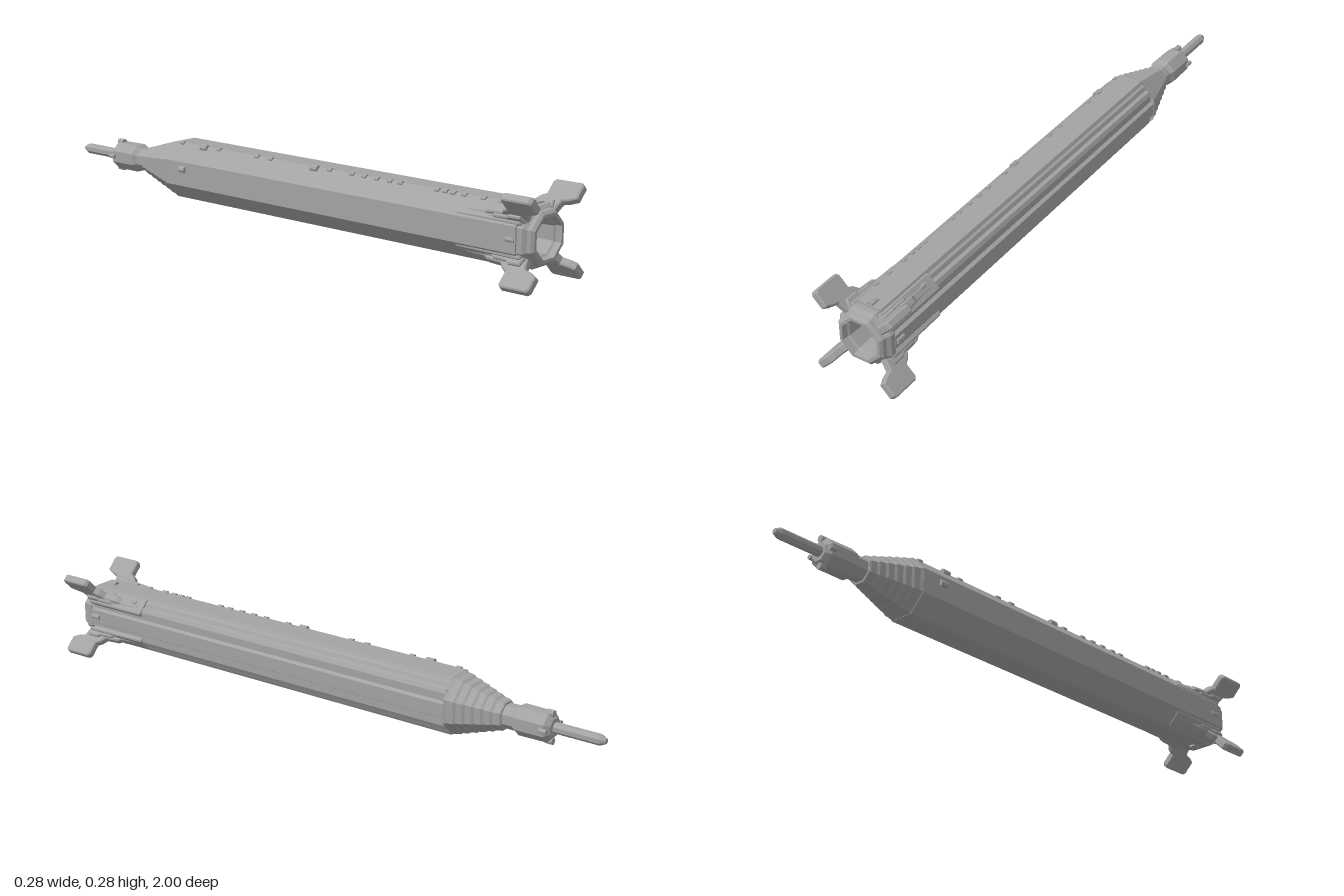
import * as THREE from 'three';

export function createModel() {
  const model = new THREE.Group();
  const rocket = new THREE.Group();
  rocket.name = 'rocket';
  rocket.position.y = 0.143; // long axis height
  model.add(rocket);

  const grey = new THREE.MeshStandardMaterial({ color: 0xa3a3a3 });
  grey.name = 'hull grey';

  // Adds a mesh with hard, flat facets
  function add(name, geometry, parent = rocket) {
    const g = geometry.index ? geometry.toNonIndexed() : geometry;
    g.computeVertexNormals();
    const mesh = new THREE.Mesh(g, grey);
    mesh.name = name;
    parent.add(mesh);
    return mesh;
  }

  // Octagonal turning along z; points are [apothem, z]
  const K = Math.cos(Math.PI / 8);
  function octagonal(name, points) {
    const g = new THREE.LatheGeometry(points.map(([r, z]) => new THREE.Vector2(r / K, z)), 8, Math.PI / 8);
    return add(name, g.rotateX(Math.PI / 2));
  }

  function shapeOf(points) {
    return new THREE.Shape(points.map(([x, y]) => new THREE.Vector2(x, y)));
  }

  // Hull: plain octagon on one side, stepped grooves on the other
  const groove = [
    [0.04, 0.093], [0.046, 0.083], [0.054, 0.079], [0.06, 0.067], [0.072, 0.064],
    [0.079, 0.052], [0.079, 0.028], [0.09, 0.022],
  ];
  const hullShape = shapeOf([
    [-0.04, 0.093], [-0.093, 0.04], [-0.093, -0.04], [-0.04, -0.093],
    ...groove.map(([x, y]) => [x, -y]),
    ...[...groove].reverse(),
  ]);
  const bore = [];
  for (let i = 0; i < 8; i++) {
    const a = Math.PI / 8 + i * Math.PI / 4;
    bore.push(new THREE.Vector2(Math.cos(a) * 0.07, Math.sin(a) * 0.07));
  }
  hullShape.holes.push(new THREE.Path(bore));
  const hull = new THREE.ExtrudeGeometry(hullShape, { depth: 1.42, bevelEnabled: false });
  hull.translate(0, 0, -0.5);
  add('hull', hull);

  // Tail ring with hollow stepped nozzle
  octagonal('nozzle', [
    [0.085, 0.915], [0.09, 0.922], [0.09, 0.94], [0.08, 0.95], [0.078, 0.962], [0.07, 0.97],
    [0.061, 0.97], [0.059, 0.95], [0.054, 0.945], [0.051, 0.86], [0, 0.86],
  ]);

  // Terraced shoulder, built from the narrow end to the wide end
  const shoulder = [[0, -0.67], [0.042, -0.67]];
  const steps = 6;
  for (let i = 0; i < steps; i++) {
    const z = -0.665 + i * 0.027;
    const r = 0.045 + i * 0.008;
    shoulder.push([r, z], [r + 0.003, z + 0.02]);
  }
  shoulder.push([0.092, -0.5], [0, -0.5]);
  octagonal('shoulder', shoulder);

  // Upper stage with a lipped front
  octagonal('upperStage', [
    [0, -0.83], [0.028, -0.83], [0.044, -0.815], [0.045, -0.72], [0.036, -0.705], [0.036, -0.66],
  ]);

  // Nose spire
  octagonal('spire', [
    [0, -1], [0.008, -0.998], [0.016, -0.98], [0.016, -0.82],
  ]).position.x = -0.003;

  // Small chamfered block
  function stud(name, x, y, z, size, length = size) {
    const g = new THREE.CylinderGeometry(0.5, 0.5, 1, 8);
    g.rotateX(Math.PI / 2).scale(size, size, length).translate(x, y, z);
    return add(name, g);
  }
  for (const s of [-1, 1]) {
    stud('stageLug', 0, s * 0.044, -0.815, 0.022, 0.024);
    stud('stageLug', s * 0.044, 0, -0.815, 0.016, 0.024);
    stud('tailLug', 0, s * 0.089, 0.9, 0.026, 0.032);
    stud('tailLug', s * 0.089, 0, 0.9, 0.018, 0.032);
  }

  // Row of studs along one upper edge
  const row = [-0.47, -0.3, -0.13, -0.07, 0.18, 0.27, 0.32, 0.37, 0.42, 0.46,
    0.6, 0.63, 0.66, 0.7, 0.77, 0.83];
  for (const z of row) stud('edgeStud', -0.041, 0.09, z, 0.015, 0.017);
  for (const z of [-0.365, 0.12]) stud('largeStud', -0.045, 0.088, z, 0.022, 0.028);
  stud('sideStud', -0.092, 0.015, -0.42, 0.024, 0.026);
  stud('grooveStud', 0.06, 0.072, 0.75, 0.018, 0.02);

  // Plate standing on the diagonal: outline points are [z, radius]
  function plate(name, outline, thickness, parent) {
    const b = 0.004;
    const g = new THREE.ExtrudeGeometry(shapeOf(outline), {
      depth: thickness - 2 * b, bevelEnabled: true, bevelSegments: 1,
      bevelSize: b, bevelThickness: b, bevelOffset: -b,
    });
    g.translate(0, 0, b - thickness / 2);
    // shape x runs along +z, shape y runs along +x
    g.applyMatrix4(new THREE.Matrix4().makeBasis(
      new THREE.Vector3(0, 0, 1), new THREE.Vector3(1, 0, 0), new THREE.Vector3(0, 1, 0)));
    add(name, g, parent);
  }

  // Four swept fins with stepped roots
  for (let i = 0; i < 4; i++) {
    const fin = new THREE.Group();
    fin.name = 'fin';
    fin.rotation.z = Math.PI / 4 + i * Math.PI / 2;
    rocket.add(fin);
    plate('finBlade', [
      [0.73, 0.08], [0.73, 0.098], [0.8, 0.101], [0.815, 0.11], [0.865, 0.113], [0.88, 0.13],
      [0.895, 0.138], [0.895, 0.18], [0.903, 0.189], [0.992, 0.189], [1, 0.181],
      [1, 0.135], [0.98, 0.125], [0.955, 0.118], [0.945, 0.08],
    ], 0.026, fin);
    plate('finRoot', [
      [0.78, 0.08], [0.785, 0.098], [0.83, 0.1], [0.84, 0.107], [0.885, 0.109],
      [0.895, 0.116], [0.935, 0.116], [0.945, 0.08],
    ], 0.044, fin);
    plate('finFoot', [
      [0.7, 0.08], [0.705, 0.097], [0.93, 0.1], [0.94, 0.08],
    ], 0.06, fin);
  }

  return model;
}
